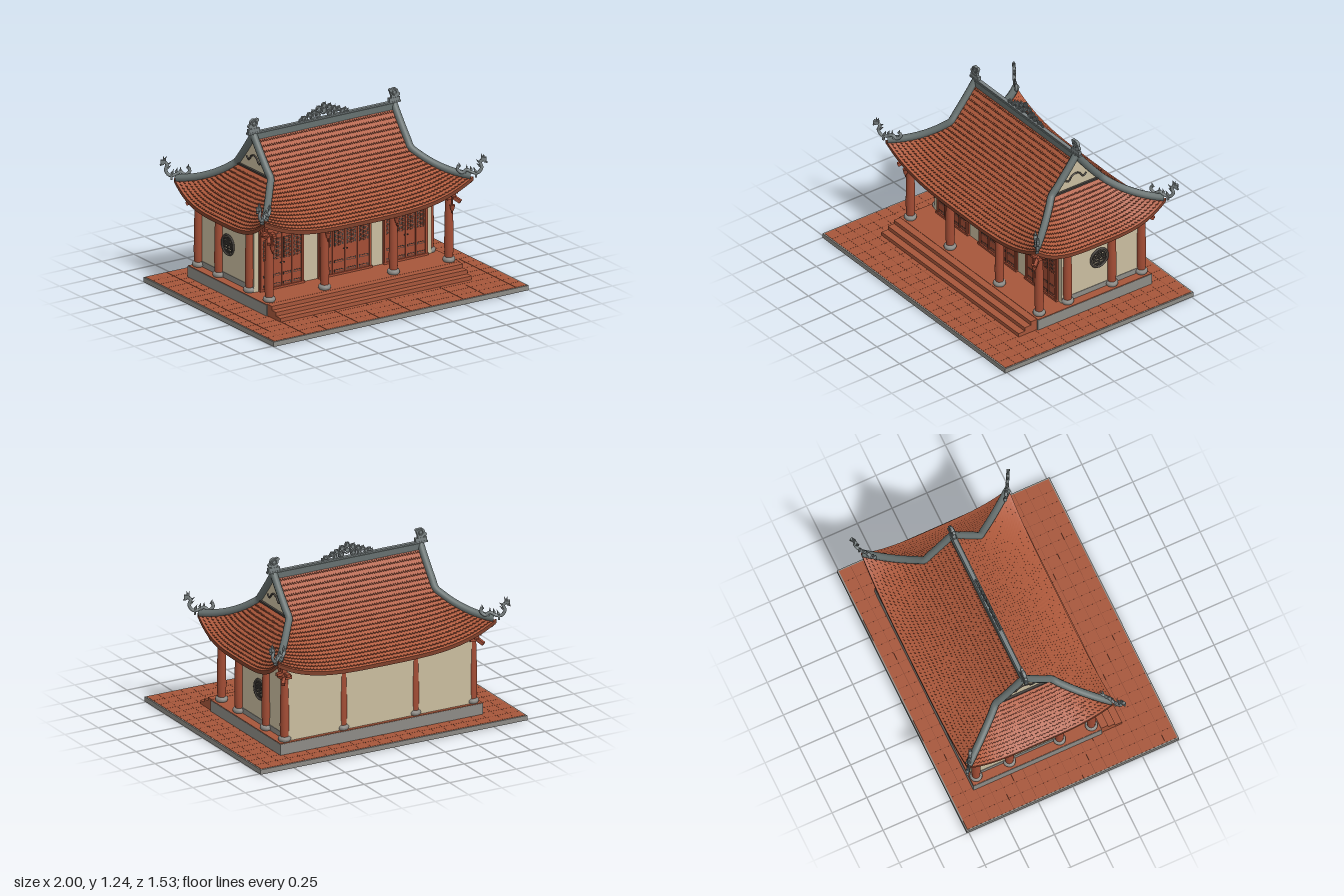
import * as THREE from 'three';

const paint = (name, color, side = THREE.FrontSide) => {
  const m = new THREE.MeshStandardMaterial({ color, side });
  m.name = name;
  return m;
};

export function createModel() {
  const M = {
    tile: paint('roof tile', 0xb05a3c, THREE.DoubleSide),
    lip: paint('tile shadow edge', 0x7f402b, THREE.DoubleSide),
    floor: paint('brick floor', 0xa6563a),
    wood: paint('red wood', 0xa34d35),
    dark: paint('dark carving', 0x45403c, THREE.DoubleSide),
    cream: paint('cream plaster', 0xcabd9f),
    stone: paint('grey stone', 0x8d8b86),
    slate: paint('slate ridge', 0x66706f),
    carve: paint('carved stone', 0x7a8283),
  };
  const model = new THREE.Group();
  model.name = 'temple';

  const group = (name, parent = model) => {
    const g = new THREE.Group();
    g.name = name;
    parent.add(g);
    return g;
  };
  const add = (p, name, geo, mat, x = 0, y = 0, z = 0) => {
    const m = new THREE.Mesh(geo, mat);
    m.name = name;
    m.position.set(x, y, z);
    p.add(m);
    return m;
  };
  const box = (p, name, mat, w, h, d, x, y, z) => add(p, name, new THREE.BoxGeometry(w, h, d), mat, x, y, z);
  const cyl = (p, name, mat, r1, r2, h, x, y, z, n = 16) => add(p, name, new THREE.CylinderGeometry(r1, r2, h, n), mat, x, y, z);
  const tube = (p, name, mat, pts, r, seg = 24) =>
    add(p, name, new THREE.TubeGeometry(new THREE.CatmullRomCurve3(pts.map(a => new THREE.Vector3(...a))), seg, r, 10), mat);
  const disc = (p, name, mat, r, d, x, y, z) => {
    const m = cyl(p, name, mat, r, r, d, x, y, z, 14);
    m.rotation.x = Math.PI / 2;
    return m;
  };

  // Ground slab with brick paving
  const ground = group('ground');
  box(ground, 'slab', M.stone, 2, 0.033, 1.53, 0, 0.0165, 0);
  box(ground, 'paving', M.floor, 1.98, 0.004, 1.51, 0, 0.033, 0);
  for (let i = 1; i < 24; i++) box(ground, 'pavingJoint', M.lip, 0.002, 0.001, 1.51, -0.99 + i * 0.0825, 0.0351, 0);
  for (let i = 1; i < 18; i++) box(ground, 'pavingJoint', M.lip, 1.98, 0.001, 0.002, 0, 0.0351, -0.755 + i * 0.0839);

  // Platform and front steps
  const platform = group('platform');
  box(platform, 'plinth', M.stone, 1.52, 0.077, 0.925, 0, 0.0725, -0.1425);
  box(platform, 'plinthFloor', M.floor, 1.515, 0.005, 0.92, 0, 0.1125, -0.1425);
  [0.47, 0.42, 0.37].forEach((z, i) => {
    const h = 0.027 * (i + 1);
    box(platform, 'step', M.floor, 1.5, h, z - 0.32, 0, 0.034 + h / 2, (z + 0.32) / 2);
  });

  // Walls
  const walls = group('walls');
  box(walls, 'backWall', M.cream, 1.38, 0.51, 0.02, 0, 0.37, -0.57);
  box(walls, 'frontWall', M.cream, 1.38, 0.55, 0.02, 0, 0.39, 0.07);
  for (const s of [-1, 1]) {
    box(walls, 'sideWall', M.cream, 0.02, 0.53, 0.66, s * 0.685, 0.38, -0.25);
    box(walls, 'wallFoot', M.stone, 0.024, 0.037, 0.65, s * 0.686, 0.134, -0.25);
    // Round lattice window
    const win = group('roundWindow', walls);
    win.position.set(s * 0.7, 0.357, -0.222);
    win.rotation.y = s * Math.PI / 2;
    add(win, 'windowRing', new THREE.TorusGeometry(0.067, 0.008, 6, 36), M.dark);
    add(win, 'innerRing', new THREE.TorusGeometry(0.052, 0.004, 6, 32), M.dark);
    for (let i = -2; i <= 2; i++) {
      const l = 2 * Math.sqrt(0.052 ** 2 - (i * 0.02) ** 2);
      box(win, 'windowBar', M.dark, l, 0.007, 0.008, 0, i * 0.02, 0);
      if (i) box(win, 'windowPost', M.dark, 0.007, 0.03, 0.008, i * 0.017, i % 2 ? 0.02 : 0, 0);
    }
    box(win, 'windowPost', M.dark, 0.008, 0.1, 0.008, 0, 0, 0);
  }

  // Doors: three bays of four carved leaves
  for (const [cx, w] of [[-0.485, 0.35], [0.01, 0.42], [0.485, 0.35]]) {
    const bay = group('doorBay');
    bay.position.set(cx, 0, 0.08);
    box(bay, 'doorBacking', M.wood, w, 0.425, 0.012, 0, 0.327, 0.004);
    box(bay, 'lintel', M.wood, w, 0.022, 0.024, 0, 0.529, 0.008);
    box(bay, 'sill', M.wood, w, 0.014, 0.024, 0, 0.122, 0.008);
    const lw = (w - 0.03) / 4;
    for (let i = 0; i <= 4; i++) box(bay, 'stile', M.wood, i % 4 ? 0.008 : 0.016, 0.42, 0.018, (i - 2) * lw, 0.327, 0.008);
    for (let i = 0; i < 4; i++) {
      const x = (i - 1.5) * lw, pw = lw * 0.74;
      box(bay, 'latticeBack', M.dark, pw, 0.145, 0.002, x, 0.39, 0.011);
      for (let r = 0; r < 5; r++) for (const s of [-1, 1]) {
        const bar = box(bay, 'latticeBar', M.wood, pw * 1.05, 0.005, 0.004, x, 0.331 + r * 0.0295, 0.013);
        bar.rotation.z = s * 0.42;
      }
      for (const s of [-1, 0, 1]) box(bay, 'latticePost', M.wood, 0.004, 0.145, 0.005, x + s * pw * 0.3, 0.39, 0.013);
      for (const y of [0.496, 0.21, 0.145]) {
        box(bay, 'panelGroove', M.dark, pw, 0.017, 0.002, x, y, 0.0105);
        box(bay, 'panelBoard', M.wood, pw - 0.012, 0.009, 0.004, x, y, 0.011);
      }
    }
    for (const s of [-1, 1]) disc(bay, 'doorHandle', M.dark, 0.005, 0.006, s * 0.012, 0.29, 0.018);
  }

  // Columns with stone feet and capitals
  const shaft = new THREE.LatheGeometry([[0.027, 0.14], [0.031, 0.22], [0.029, 0.38], [0.023, 0.6]].map(a => new THREE.Vector2(...a)), 18);
  const foot = new THREE.LatheGeometry([[0.036, 0.115], [0.042, 0.125], [0.041, 0.137], [0.033, 0.147], [0, 0.148]].map(a => new THREE.Vector2(...a)), 18);
  const column = (x, z) => {
    const c = group('column');
    c.position.set(x, 0, z);
    add(c, 'columnShaft', shaft, M.wood);
    add(c, 'columnFoot', foot, M.stone);
    return c;
  };
  for (const x of [-0.705, -0.27, 0.27, 0.705]) {
    const corner = Math.abs(x) > 0.5;
    for (const z of [0.27, -0.56]) {
      const c = column(x, z), f = z > 0 ? 1 : -1;
      box(c, 'capital', M.wood, 0.07, 0.025, 0.07, 0, 0.563, 0);
      box(c, 'crossArm', M.wood, 0.12, 0.02, 0.03, 0, 0.585, 0);
      box(c, 'frontArm', M.wood, 0.03, 0.02, 0.12, 0, 0.585, 0);
      // Sloping strut, turned outward at the corners
      const strut = group('strut', c);
      strut.rotation.y = corner ? Math.atan2(x, f) * 1 : f > 0 ? 0 : Math.PI;
      const arm = box(strut, 'strutArm', M.wood, 0.022, 0.024, 0.085, 0, 0.555, 0.045);
      arm.rotation.x = corner ? 0.5 : -0.3;
      if (f > 0) {
        cyl(c, 'hangingRod', M.wood, 0.006, 0.006, 0.06, 0, 0.54, 0.04, 8);
        cyl(c, 'hangingBud', M.wood, 0.019, 0.012, 0.035, 0, 0.497, 0.04, 8);
        cyl(c, 'budTip', M.wood, 0.008, 0.003, 0.025, 0, 0.467, 0.04, 8);
      }
    }
    if (corner) for (const z of [0.04, -0.32]) column(x, z);
  }
  for (const z of [0.27, -0.56]) box(model, 'longBeam', M.wood, 1.46, 0.022, 0.035, 0, 0.607, z);
  for (const s of [-1, 1]) box(model, 'sideBeam', M.wood, 0.035, 0.022, 0.86, s * 0.705, 0.607, -0.145);

  // Roof: concave slope by distance d from the ridge, lifted toward the corners
  const roof = group('roof');
  roof.position.z = -0.145;
  const GABLE = 0.2, EAVE = 0.53, RX = 0.55;
  const slopeY = d => 1.1 - 1.35 * d + 0.63 * d * d;
  const out = d => Math.max(0, (d - GABLE) / (EAVE - GABLE));
  const roofY = (u, d) => slopeY(d) + 0.14 * Math.abs(u) ** 3.5 * out(d) ** 1.5;
  const longSlope = (u, t) => {
    const d = t * EAVE;
    return [u * (RX + 0.27 * out(d)), roofY(u, d), d];
  };
  const endSlope = (u, t) => {
    const d = GABLE + t * (EAVE - GABLE);
    return [RX + 0.27 * t, roofY(u, d), -u * d];
  };
  // One sheet of quads between two edge lines
  const sheet = (lines) => {
    const pos = [], idx = [];
    for (const { n, top, low } of lines) {
      const base = pos.length / 3;
      for (let i = 0; i <= n; i++) pos.push(...top(i / n), ...low(i / n));
      for (let i = 0; i < n; i++) {
        const a = base + i * 2;
        idx.push(a, a + 1, a + 3, a, a + 3, a + 2);
      }
    }
    const g = new THREE.BufferGeometry();
    g.setAttribute('position', new THREE.Float32BufferAttribute(pos, 3));
    g.setIndex(idx);
    g.computeVertexNormals();
    return g;
  };
  const tiledSlope = (P, rows, cols, turn) => {
    const at = (f, t, dy) => {
      const p = P(f * 2 - 1, t);
      p[1] += dy;
      return p;
    };
    const tiles = [], lips = [], under = [];
    for (let r = 0; r < rows; r++) {
      const t0 = r / rows, last = r === rows - 1, n = cols * 4;
      // Scalloped lower edge, staggered on every other row
      const edge = f => last ? 1 : (r + 1 + 0.35 * Math.abs(Math.sin(Math.PI * (f * cols + (r % 2) / 2)))) / rows;
      tiles.push({ n, top: f => at(f, t0, 0.001), low: f => at(f, edge(f), 0.009) });
      lips.push({ n, top: f => at(f, edge(f), 0.009), low: f => at(f, edge(f), last ? -0.018 : 0) });
      under.push({ n: 24, top: f => at(1 - f, t0, -0.018), low: f => at(1 - f, (r + 1) / rows, -0.018) });
    }
    const g = group('roofSlope', roof);
    g.rotation.y = turn;
    add(g, 'tiles', sheet(tiles), M.tile);
    add(g, 'tileEdges', sheet(lips), M.lip);
    add(g, 'roofUnderside', sheet(under), M.tile);
  };
  for (const turn of [0, Math.PI]) {
    tiledSlope(longSlope, 23, 64, turn);
    tiledSlope(endSlope, 14, 42, turn);
  }

  // Gables, hip ribs and corner dragons
  const gable = new THREE.Shape();
  for (let i = -8; i <= 8; i++) gable[i === -8 ? 'moveTo' : 'lineTo'](i * 0.025, slopeY(Math.abs(i * 0.025)) - 0.005);
  const gableGeo = new THREE.ExtrudeGeometry(gable, { depth: 0.02, bevelEnabled: false });
  for (const sx of [-1, 1]) {
    const end = group('gableEnd', roof);
    end.rotation.y = sx * Math.PI / 2;
    add(end, 'gableWall', gableGeo, M.cream, 0, 0, 0.525);
    box(end, 'gableSill', M.dark, 0.38, 0.012, 0.03, 0, 0.865, 0.545);
    tube(end, 'gableScroll', M.dark, [[-0.085, 0.94, 0.547], [-0.06, 0.925, 0.547], [-0.03, 0.957, 0.547], [0, 0.968, 0.547], [0.03, 0.957, 0.547], [0.06, 0.925, 0.547], [0.085, 0.94, 0.547]], 0.006, 40);
    for (const sz of [-1, 1]) {
      const rib = [];
      for (let d = 0; d <= 0.521; d += 0.04) rib.push([sx * (RX + 0.27 * out(d)), roofY(1, d) + 0.012, sz * d]);
      tube(roof, 'hipRib', M.slate, rib, 0.025, 40);

      const dragon = group('cornerDragon', roof);
      dragon.position.set(sx * 0.745, 0.72, sz * 0.475);
      dragon.rotation.y = Math.atan2(-sz * 0.09, sx * 0.15);
      tube(dragon, 'dragonBody', M.carve, [[0, 0.07, 0], [-0.01, 0.04, 0], [0.02, 0.015, 0], [0.05, 0.035, 0], [0.09, 0.015, 0], [0.125, 0.015, 0], [0.148, 0.05, 0], [0.138, 0.085, 0], [0.155, 0.108, 0]], 0.011, 40);
      box(dragon, 'dragonHead', M.carve, 0.036, 0.024, 0.02, 0.162, 0.108, 0);
      box(dragon, 'dragonJaw', M.carve, 0.026, 0.008, 0.014, 0.172, 0.088, 0).rotation.z = -0.3;
      [[0, 0.075, 0.3], [0.05, 0.055, 0], [0.075, 0.05, 0.3], [0.1, 0.04, 0.4], [0.125, 0.07, 0.9], [0.122, 0.095, 0.9], [0.148, 0.13, 0.3], [0.16, 0.13, -0.2]].forEach(([x, y, a]) => {
        add(dragon, 'dragonFin', new THREE.ConeGeometry(0.01, 0.034, 5), M.carve, x, y, 0).rotation.z = a;
      });
      for (const x of [0.04, 0.11]) box(dragon, 'dragonLeg', M.carve, 0.012, 0.035, 0.022, x, 0.002, 0);
    }
  }

  // Ridge with scroll finials and a cloud crest
  box(roof, 'ridge', M.slate, 1.13, 0.045, 0.04, 0, 1.1, 0);
  box(roof, 'ridgeCap', M.carve, 1.2, 0.012, 0.026, 0, 1.126, 0);
  for (const s of [-1, 1]) {
    const f = group('ridgeFinial', roof);
    f.position.set(s * 0.55, 1.13, 0);
    box(f, 'finialBase', M.carve, 0.085, 0.03, 0.022, 0, 0.012, 0);
    box(f, 'finialNeck', M.carve, 0.045, 0.04, 0.018, 0, 0.04, 0);
    disc(f, 'finialHead', M.carve, 0.03, 0.02, 0, 0.063, 0);
    add(f, 'finialScroll', new THREE.TorusGeometry(0.016, 0.005, 6, 18), M.carve, 0, 0.063, 0.01);
    add(f, 'finialScroll', new THREE.TorusGeometry(0.016, 0.005, 6, 18), M.carve, 0, 0.063, -0.01);
    disc(f, 'finialCurl', M.carve, 0.014, 0.018, s * 0.03, 0.045, 0);
    disc(f, 'finialCurl', M.carve, 0.012, 0.018, -s * 0.027, 0.08, 0);
  }
  const crest = group('ridgeCrest', roof);
  crest.position.y = 1.13;
  const curls = [[0, 0.045, 0.03], [0, 0.08, 0.02], [0.04, 0.06, 0.025], [0.045, 0.02, 0.022], [0.08, 0.045, 0.02], [0.09, 0.015, 0.018], [0.115, 0.035, 0.017], [0.14, 0.015, 0.016], [0.165, 0.02, 0.014], [0.185, 0.01, 0.008]];
  for (const s of [-1, 1]) for (const [x, y, r] of curls) {
    if (!x && s < 0) continue;
    disc(crest, 'cloudCore', M.carve, r * 0.5, 0.014, s * x, y, 0);
    add(crest, 'cloudCurl', new THREE.TorusGeometry(r * 0.8, 0.005, 6, 18), M.carve, s * x, y, 0);
    add(crest, 'cloudTip', new THREE.ConeGeometry(0.007, 0.022, 5), M.carve, s * (x + r * 0.5), y + r * 0.8, 0).rotation.z = -s * 0.5;
  }
  return model;
}
